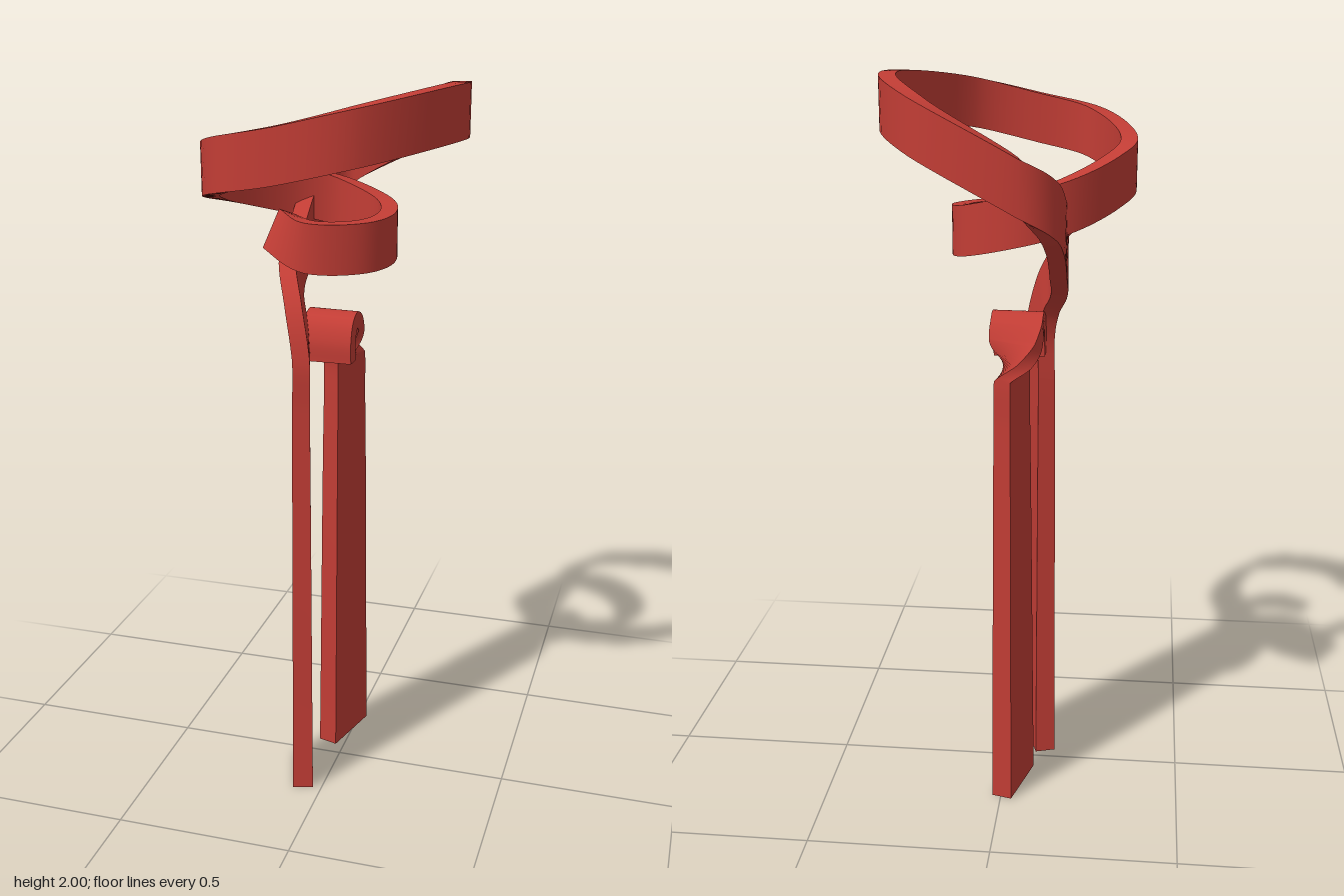
import * as THREE from 'three';

const red = new THREE.MeshStandardMaterial({ color: 0xc23d35 });
red.name = 'ribbon red';
const STEPS = 9;

// Section at path position u, blended between keys of
// [point number, width direction x, y, z, width, thickness]
function sectionAt(keys, u) {
  const k = Math.max(1, keys.findIndex(key => key[0] >= u));
  const [a, b] = [keys[k - 1], keys[k]];
  const f = (u - a[0]) / (b[0] - a[0]);
  return a.map((v, j) => THREE.MathUtils.lerp(v, b[j], f));
}

// Sweeps a rectangular section along a smooth path
function ribbon(name, points, keys) {
  const path = new THREE.CatmullRomCurve3(points.map(p => new THREE.Vector3(...p)));
  const total = (points.length - 1) * STEPS;
  const positions = [], index = [], rings = [];
  for (let i = 0; i <= total; i++) {
    const p = path.getPoint(i / total);
    const [, x, y, z, width, thickness] = sectionAt(keys, i / STEPS);
    const w = new THREE.Vector3(x, y, z).normalize();
    const n = path.getTangent(i / total).cross(w).setLength(thickness / 2);
    w.multiplyScalar(width / 2);
    rings.push([[1, 1], [-1, 1], [-1, -1], [1, -1]].map(([a, b]) =>
      p.clone().addScaledVector(w, a).addScaledVector(n, b)));
  }
  // four smooth strips with sharp edges between them
  for (let s = 0; s < 4; s++) {
    const base = positions.length / 3;
    rings.forEach((ring, i) => {
      positions.push(...ring[s], ...ring[(s + 1) % 4]);
      if (i === total) return;
      const a = base + i * 2;
      index.push(a, a + 1, a + 2, a + 1, a + 3, a + 2);
    });
  }
  // end caps
  for (const [ring, order] of [[rings[0], [0, 2, 1, 0, 3, 2]], [rings[total], [0, 1, 2, 0, 2, 3]]]) {
    const base = positions.length / 3;
    ring.forEach(v => positions.push(...v));
    index.push(...order.map(o => base + o));
  }
  const g = new THREE.BufferGeometry();
  g.setAttribute('position', new THREE.Float32BufferAttribute(positions, 3));
  g.setIndex(index);
  g.computeVertexNormals();
  const mesh = new THREE.Mesh(g, red);
  mesh.name = name;
  return mesh;
}

export function createModel() {
  const group = new THREE.Group();
  group.name = 'tied ribbon';

  // the spiral: small loop opening into the wide tilted loop
  const smallLoop = [
    [-0.145, 1.62, 0.09], [-0.04, 1.595, 0.155], [0.08, 1.59, 0.1],
    [0.125, 1.595, 0], [0.09, 1.61, -0.13], [-0.05, 1.65, -0.2],
  ];
  const wideLoop = [
    [-0.16, 1.68, -0.165], [-0.27, 1.725, -0.04], [-0.313, 1.76, 0.08],
    [-0.21, 1.82, 0.32], [-0.05, 1.855, 0.367], [0.14, 1.9, 0.32],
    [0.312, 1.93, 0.01], [0.2, 1.885, -0.285], [-0.06, 1.75, -0.362],
  ];
  // the band dips under the loops and hangs down
  const frontTail = [
    [-0.125, 1.695, -0.32], [-0.142, 1.645, -0.25], [-0.142, 1.55, -0.11],
    [-0.135, 1.48, 0], [-0.1, 1.4, 0.075], [-0.078, 1.3, 0.104],
    [-0.078, 1.15, 0.106], [-0.08, 0, 0.117],
  ];
  group.add(ribbon('loopsAndFrontTail', [...smallLoop, ...wideLoop, ...frontTail], [
    [0, 0.35, 0.9, -0.2, 0.11, 0.045],
    [1, 0, 1, 0, 0.13, 0.045],
    [14, 0, 1, 0, 0.14, 0.045],
    [16, 0, 0.9, 0.4, 0.14, 0.045],
    [18, 0.05, 0.75, 0.66, 0.15, 0.045],
    [20, 0.3, 0, 0.95, 0.16, 0.046],
    [21, 0.3, 0, 0.95, 0.163, 0.047],
    [22, 0.3, 0, 0.95, 0.183, 0.058],
  ]));

  // short hooked fold turning into the rear tail
  const hook = [
    [-0.03, 1.25, 0.006], [-0.03, 1.305, 0.004], [-0.03, 1.345, -0.015],
    [-0.03, 1.358, -0.045], [-0.03, 1.342, -0.078], [-0.028, 1.305, -0.105],
    [-0.025, 1.265, -0.12], [-0.022, 1.225, -0.127],
  ];
  const rearTail = [[-0.022, 1.1, -0.128], [-0.028, 0, -0.142]];
  group.add(ribbon('hookAndRearTail', [...hook, ...rearTail], [
    [0, 1, 0, 0, 0.14, 0.046],
    [4, 1, 0, 0.08, 0.14, 0.046],
    [5, 0.9, 0, 0.4, 0.14, 0.046],
    [6, 0.5, 0, 0.87, 0.145, 0.046],
    [7, -0.26, 0, 0.97, 0.15, 0.046],
    [8, -0.26, 0, 0.97, 0.152, 0.047],
    [9, -0.26, 0, 0.97, 0.19, 0.057],
  ]));
  return group;
}
